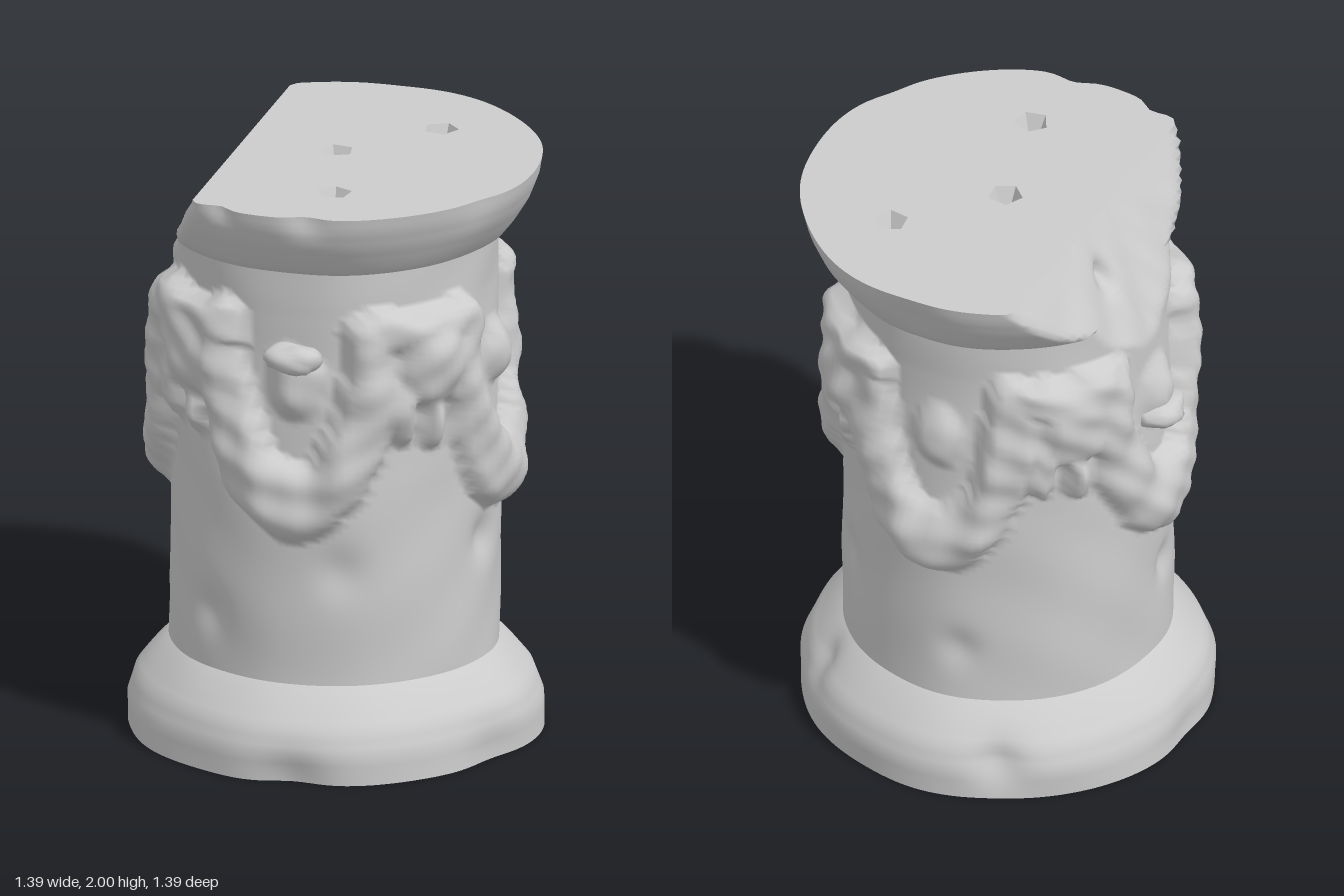
import * as THREE from 'three';
import { mergeVertices } from 'three/addons/utils/BufferGeometryUtils.js';

const material = new THREE.MeshStandardMaterial({ color: 0xcccccc });
const pitMaterial = new THREE.MeshStandardMaterial({ color: 0xcccccc, side: THREE.DoubleSide });
const SEGMENTS = 144;

// Smooth weathering, roughly -1 to 1
const wear = (x, y, z, f = 1) =>
  (Math.sin(f * (7 * x + 3 * y) + 1.3) * Math.cos(f * (6 * z - 4 * y))
  + 0.6 * Math.sin(f * (13 * z + 9 * y) + 2.1) * Math.cos(f * (11 * x - 8 * y) + 0.4)) / 1.6;

// Chipped spots: angle from the front (+z towards +x), height, size, depth
const dents = [
  [-0.68, 2.0, 0.08, 0.03], [-1.14, 2.0, 0.06, 0.03], [0.25, 2.0, 0.1, 0.01], [2.3, 1.9, 0.12, 0.02],
  [-2.6, 1.84, 0.06, 0.06], [-0.75, 0.0, 0.14, 0.04], [0.35, 0.03, 0.16, 0.03], [1.5, 0.2, 0.08, 0.03],
  [2.75, 0.13, 0.1, 0.04], [-2.4, 0.05, 0.15, 0.03], [0.6, 0.72, 0.1, 0.03], [-0.5, 0.7, 0.12, 0.02],
  [1.5, 0.65, 0.1, 0.02], [-2.2, 0.6, 0.09, 0.03], [2.5, 0.5, 0.1, 0.02], [-1.4, 0.5, 0.1, 0.02],
];

// Radius after weathering, the large break at the back corner and the chips
function wornRadius(theta, y, r, amount) {
  const s = Math.sin(theta), c = Math.cos(theta);
  r += amount * wear(s * 0.6, y, c * 0.6);
  const toBreak = -0.69 * s - 0.72 * c;
  if (toBreak > 0.05) {
    const plane = 0.326 + (2 - y) * 0.56 + (2 - y) * 0.07 * wear(s, y, c, 1.5);
    r = Math.min(r, plane / toBreak);
  }
  for (const [a, h, size, depth] of dents) {
    const arc = 0.6 * Math.atan2(Math.sin(theta - a), Math.cos(theta - a));
    r -= depth * Math.exp(-2 * (arc * arc + (y - h) ** 2) / (size * size));
  }
  return r;
}

// Swag centre line on the unrolled shaft: distance from the diagonal, height, half width
const swag = [];
for (let i = 0; i <= 24; i++) {
  const t = (i / 24) * Math.PI / 2;
  swag.push([0.275 * Math.sin(t), 0.95 + 0.59 * (1 - Math.cos(t)), 0.135 - 0.045 * Math.sin(t)]);
}

// Rounded raised patch, steep at its edge
const patch = (dx, dy, w, h, p = 2) => Math.sqrt(Math.max(0, 1 - Math.abs(dx / w) ** p - Math.abs(dy / h) ** p));

// Carved relief: swags hung on the diagonals from knots on the axes
function relief(theta, y) {
  if (y < 0.7 || y > 1.72) return 0;
  const x = 0.6 * Math.sin(theta), z = 0.6 * Math.cos(theta);
  const quarter = Math.PI / 2;
  const ruffle = 0.022 * wear(x, y, z, 2.1);
  const axisAngle = theta - Math.round(theta / quarter) * quarter;
  const q = 0.56 * axisAngle + ruffle;
  const s = 0.56 * (Math.PI / 4 - Math.abs(axisAngle)) + ruffle;
  const h = y + 0.022 * wear(z, x, y, 2.3);

  let swagHeight = 0;
  for (const [a, b, w] of swag) swagHeight = Math.max(swagHeight, patch(s - a, h - b, w, w));
  const parts = [
    0.085 * swagHeight,
    // Band, head and hanging ends of the knot
    0.09 * patch(q - 0.02, h - 1.55, 0.24, 0.075, 4),
    0.105 * patch(q - 0.03, h - 1.44, 0.14, 0.18, 2.5),
    0.08 * patch(q + 0.08, h - 1.28, 0.055, 0.14),
    0.07 * patch(q - 0.05, h - 1.24, 0.045, 0.12),
    // Boss inside the swag
    0.06 * patch(s, h - 1.36, 0.1, 0.13) ** 2,
  ];
  return Math.max(...parts) * (1 + 0.28 * wear(x, y, z, 2.7));
}

function smooth(geometry) {
  geometry.deleteAttribute('uv');
  geometry.deleteAttribute('normal');
  const merged = mergeVertices(geometry, 1e-4);
  merged.computeVertexNormals();
  return merged;
}

function addMesh(parent, name, geometry, meshMaterial = material) {
  const mesh = new THREE.Mesh(geometry, meshMaterial);
  mesh.name = name;
  parent.add(mesh);
  return mesh;
}

// Turned section, subdivided in height, carved and then worn
function wornLathe(profile, amount, step, carve = () => 0) {
  const points = [new THREE.Vector2(...profile[0])];
  for (let i = 1; i < profile.length; i++) {
    const a = new THREE.Vector2(...profile[i - 1]), b = new THREE.Vector2(...profile[i]);
    const n = Math.max(1, Math.round(a.distanceTo(b) / step));
    for (let k = 1; k <= n; k++) points.push(a.clone().lerp(b, k / n));
  }
  const geometry = new THREE.LatheGeometry(points, SEGMENTS);
  const p = geometry.attributes.position;
  for (let i = 0; i < p.count; i++) {
    const theta = Math.floor(i / points.length) % SEGMENTS / SEGMENTS * Math.PI * 2;
    const y = p.getY(i);
    const r = wornRadius(theta, y, points[i % points.length].x + carve(theta, y), amount);
    p.setX(i, r * Math.sin(theta));
    p.setZ(i, r * Math.cos(theta));
  }
  return smooth(geometry);
}

// Flat end face following the worn outline; side is 1 for up, -1 for down
function endFace(y, r, amount, side, holes = []) {
  const outline = [];
  for (let i = 0; i < SEGMENTS; i++) {
    const theta = i / SEGMENTS * Math.PI * 2, w = wornRadius(theta, y, r, amount);
    outline.push(new THREE.Vector2(w * Math.sin(theta), -side * w * Math.cos(theta)));
  }
  const shape = new THREE.Shape(outline);
  for (const [x, z, size, turn] of holes) {
    const ring = [];
    for (let k = 0; k < 5; k++) {
      const a = turn + k / 5 * Math.PI * 2;
      ring.push(new THREE.Vector2(x + size * Math.sin(a), -z - size * Math.cos(a)));
    }
    shape.holes.push(new THREE.Path(ring));
  }
  return new THREE.ShapeGeometry(shape).rotateX(-side * Math.PI / 2).translate(0, y, 0);
}

// Broken stub jutting from the shaft
function addStub(parent, theta, y, w, h, d) {
  const geometry = new THREE.SphereGeometry(1, 16, 12);
  const p = geometry.attributes.position;
  for (let i = 0; i < p.count; i++) {
    const x = p.getX(i), q = p.getY(i), z = p.getZ(i);
    const k = (1 + 0.15 * wear(x + theta, q, z, 0.5)) / Math.cbrt(Math.abs(x) ** 3 + Math.abs(q) ** 3 + Math.abs(z) ** 3);
    p.setXYZ(i, x * w * k, q * h * k, z * d * k);
  }
  const mesh = addMesh(parent, 'brokenStub', smooth(geometry));
  mesh.position.set(0.56 * Math.sin(theta), y, 0.56 * Math.cos(theta));
  mesh.rotation.y = theta;
}

export function createModel() {
  const model = new THREE.Group();
  model.name = 'brokenPedestal';

  // Foot moulding
  const foot = [[0.695, 0], [0.695, 0.1], [0.665, 0.18], [0.605, 0.25], [0.56, 0.295], [0.54, 0.31]];
  addMesh(model, 'base', wornLathe(foot, 0.012, 0.03));
  addMesh(model, 'baseUnderside', endFace(0, 0.695, 0.012, -1));

  // Shaft with carved garlands
  const shaft = [[0.55, 0.28], [0.55, 1.0], [0.54, 1.6], [0.545, 1.78]];
  addMesh(model, 'garlandedShaft', wornLathe(shaft, 0.01, 0.018, relief));
  addStub(model, -Math.PI / 4, 1.46, 0.09, 0.045, 0.07);
  addStub(model, -Math.PI * 3 / 4, 1.29, 0.09, 0.045, 0.08);

  // Crown moulding, broken at one corner
  const crown = [[0.53, 1.75], [0.575, 1.765], [0.61, 1.81], [0.655, 1.88], [0.685, 1.95], [0.695, 2]];
  addMesh(model, 'crown', wornLathe(crown, 0.01, 0.025));

  // Top face with three dowel holes
  const holes = [[0.01, -0.01, 0.06, 0.3], [0.42, -0.02, 0.06, 0.9], [-0.21, 0.35, 0.06, 0]];
  addMesh(model, 'topFace', endFace(2, 0.695, 0.01, 1, holes));
  for (const [x, z, size, turn] of holes) {
    const wall = new THREE.CylinderGeometry(size, size * 0.4, 0.08, 5, 1, true).toNonIndexed();
    wall.computeVertexNormals();
    addMesh(model, 'dowelHole', wall.rotateY(turn).translate(x, 1.96, z), pitMaterial);
    const floor = new THREE.CircleGeometry(size * 0.45, 12).rotateX(-Math.PI / 2);
    addMesh(model, 'dowelHoleFloor', floor.translate(x, 1.921, z));
  }
  return model;
}
